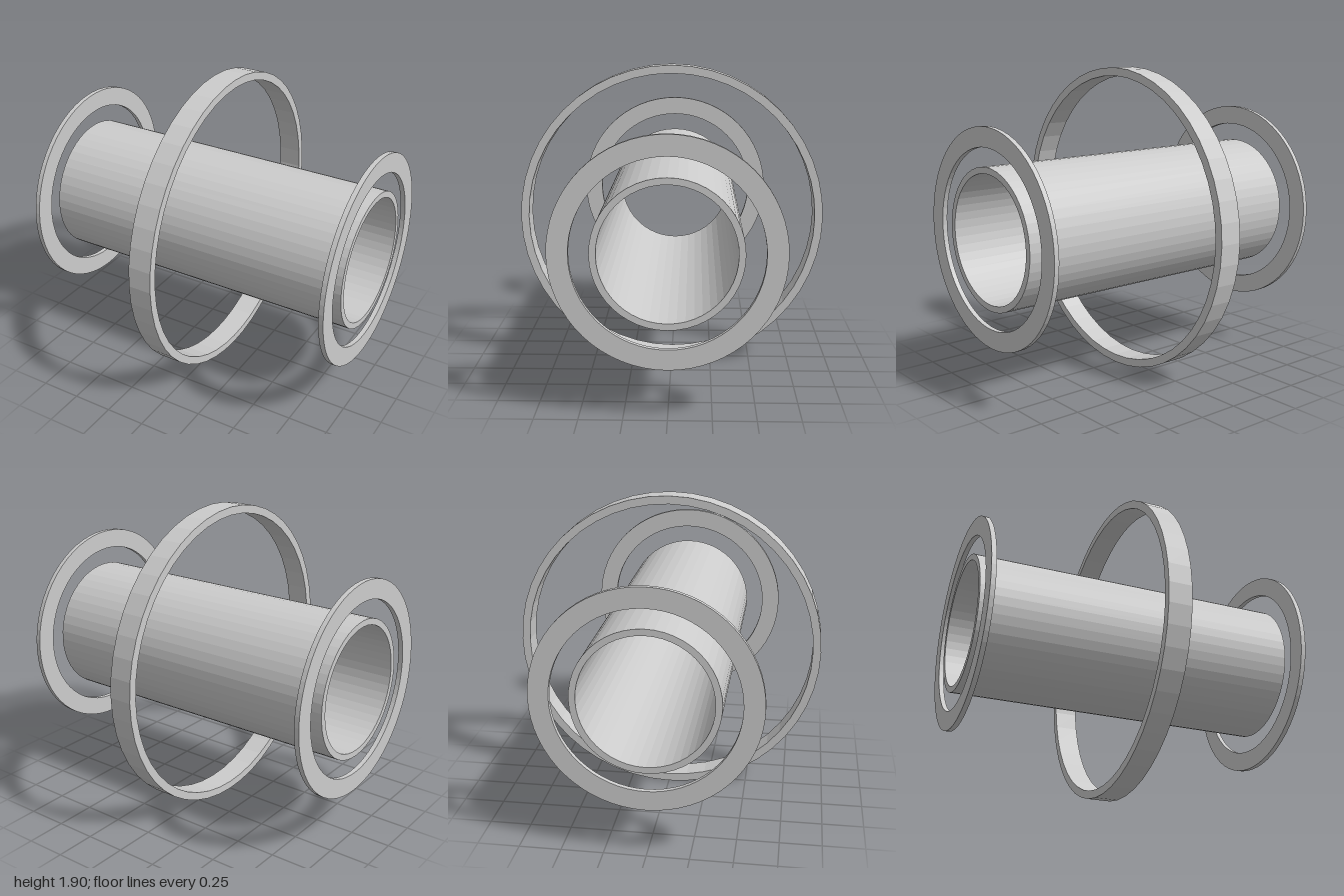
import * as THREE from 'three';

export function createModel() {
  const model = new THREE.Group();
  const grey = new THREE.MeshStandardMaterial({ color: 0xcccccc, flatShading: true });
  grey.name = 'plain grey';
  const axisHeight = 0.95;

  // Hollow ring with a rectangular section, turned about the x axis
  function addRing(name, inner, outer, width, x, sides) {
    const h = width / 2;
    const section = [[inner, -h], [outer, -h], [outer, h], [inner, h], [inner, -h]]
      .map(([r, y]) => new THREE.Vector2(r, y));
    const geometry = new THREE.LatheGeometry(section, sides).rotateZ(-Math.PI / 2);
    const ring = new THREE.Mesh(geometry, grey);
    ring.name = name;
    ring.position.set(x, axisHeight, 0);
    model.add(ring);
  }

  // Central open tube
  addRing('mainTube', 0.385, 0.423, 2, 0, 48);

  // Large hoop around the middle
  addRing('middleHoop', 0.9, 0.95, 0.145, 0, 48);

  // Flat washer-like rings floating around both tube ends
  addRing('leftEndRing', 0.535, 0.653, 0.03, 0.985, 64);
  addRing('rightEndRing', 0.535, 0.653, 0.03, -0.985, 64);

  return model;
}
